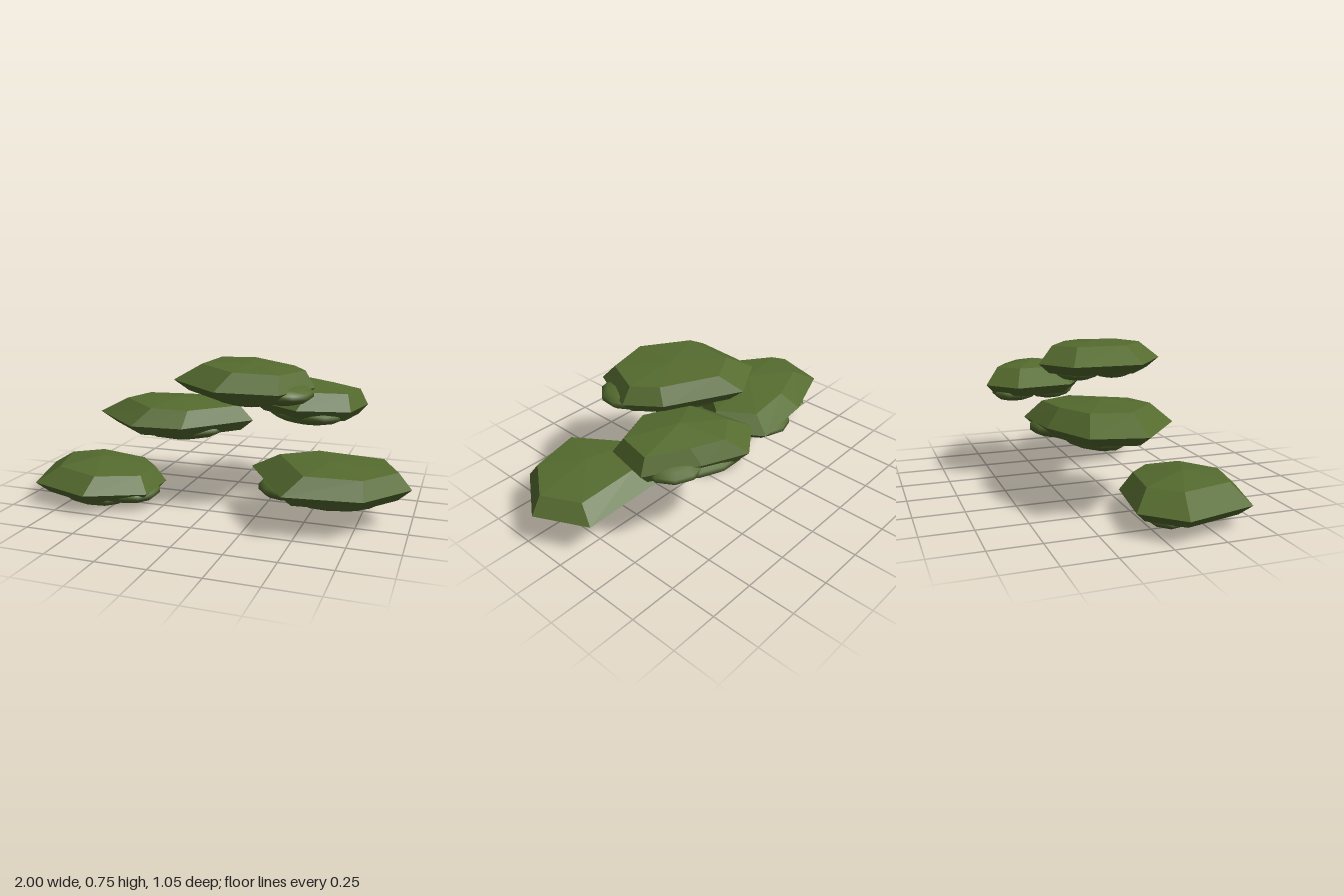
import * as THREE from 'three';

const leafGreen = new THREE.MeshStandardMaterial({ color: 0x556b2f });
leafGreen.name = 'leafGreen';

// Flat-faceted shell: bottom point, underside ring, wide rim, crown ring, top point
function shellGeometry(rim, cx, cz, y, top) {
  const ring = (scale, dx, dy) => rim.map(([x, z]) =>
    [cx + (x - cx) * scale + dx, y + dy - 0.03 * (x - cx), cz + (z - cz) * scale]);
  const point = (dx, py) => rim.map(() => [cx + dx, py, cz]);
  const layers = [
    point(0, y - 0.065),
    ring(0.82, 0.01, -0.055),
    ring(1, 0, 0),
    ring(0.73, 0.045, 0.083),
    point(0.02, top),
  ];
  const n = rim.length, out = [];
  for (let k = 0; k < layers.length - 1; k++) {
    const a = layers[k], b = layers[k + 1];
    for (let i = 0; i < n; i++) {
      const j = (i + 1) % n;
      if (k > 0) out.push(...a[i], ...a[j], ...b[j]);
      if (k < layers.length - 2) out.push(...a[i], ...b[j], ...b[i]);
    }
  }
  const geometry = new THREE.BufferGeometry();
  geometry.setAttribute('position', new THREE.Float32BufferAttribute(out, 3));
  geometry.computeVertexNormals();
  return geometry;
}

// One foliage clump; the rim runs left, front, right, back as [x, z]
function addClump(model, name, y, top, turn, side, rim) {
  const middle = (k) => {
    const values = rim.map((p) => p[k]);
    return (Math.min(...values) + Math.max(...values)) / 2;
  };
  const cx = middle(0), cz = middle(1);
  const group = new THREE.Group();
  group.name = name;
  model.add(group);

  const shell = new THREE.Mesh(shellGeometry(rim, cx, cz, y, top), leafGreen);
  shell.name = 'leafShell';
  group.add(shell);

  // Smooth squashed lobes tucked under the shell
  const lobeGeometry = new THREE.SphereGeometry(1, 10, 7);
  const addLobe = (lobeName, x, z, drop, rx, rz) => {
    const lobe = new THREE.Mesh(lobeGeometry, leafGreen);
    lobe.name = lobeName;
    lobe.position.set(x, y - drop, z);
    lobe.scale.set(rx, 0.055, rz);
    lobe.rotation.y = turn;
    group.add(lobe);
  };
  for (const s of [-1, 1]) {
    const dx = s * (0.05 * Math.cos(turn) + 0.09 * Math.sin(turn));
    const dz = s * (0.09 * Math.cos(turn) - 0.05 * Math.sin(turn));
    addLobe(s < 0 ? 'backLobe' : 'frontLobe', cx + dx, cz + dz, 0.048, 0.22, 0.13);
  }
  addLobe('sideLobe', side[0], side[1], 0.03, 0.15, 0.15);
}

export function createModel() {
  const model = new THREE.Group();
  model.name = 'foliage';

  addClump(model, 'leftLowClump', 0.103, 0.225, -0.3, [-0.42, 0.27],
    [[-1, 0.07], [-0.9, 0.43], [-0.57, 0.525], [-0.29, 0.37], [-0.29, 0.12], [-0.45, -0.04], [-0.82, -0.1]]);
  addClump(model, 'rightLowClump', 0.21, 0.312, 0.3, [0.42, 0.26],
    [[0.19, 0.12], [0.45, 0.525], [0.81, 0.45], [1, 0.18], [0.87, -0.09], [0.42, -0.09]]);
  addClump(model, 'leftMiddleClump', 0.405, 0.515, 0.3, [-0.18, -0.26],
    [[-0.73, 0], [-0.43, 0.245], [-0.17, 0.19], [0.11, -0.16], [-0.04, -0.4], [-0.36, -0.37], [-0.66, -0.26]]);
  addClump(model, 'rightMiddleClump', 0.51, 0.628, -0.4, [0.52, -0.29],
    [[0.08, -0.4], [0.12, -0.1], [0.4, 0.055], [0.66, -0.04], [0.71, -0.28], [0.47, -0.43], [0.26, -0.53]]);
  addClump(model, 'crownClump', 0.647, 0.75, -0.4, [0.36, 0.15],
    [[-0.21, 0.18], [0.08, 0.395], [0.38, 0.33], [0.495, 0.06], [0.38, -0.1], [0.03, -0.3], [-0.19, -0.18]]);
  return model;
}
